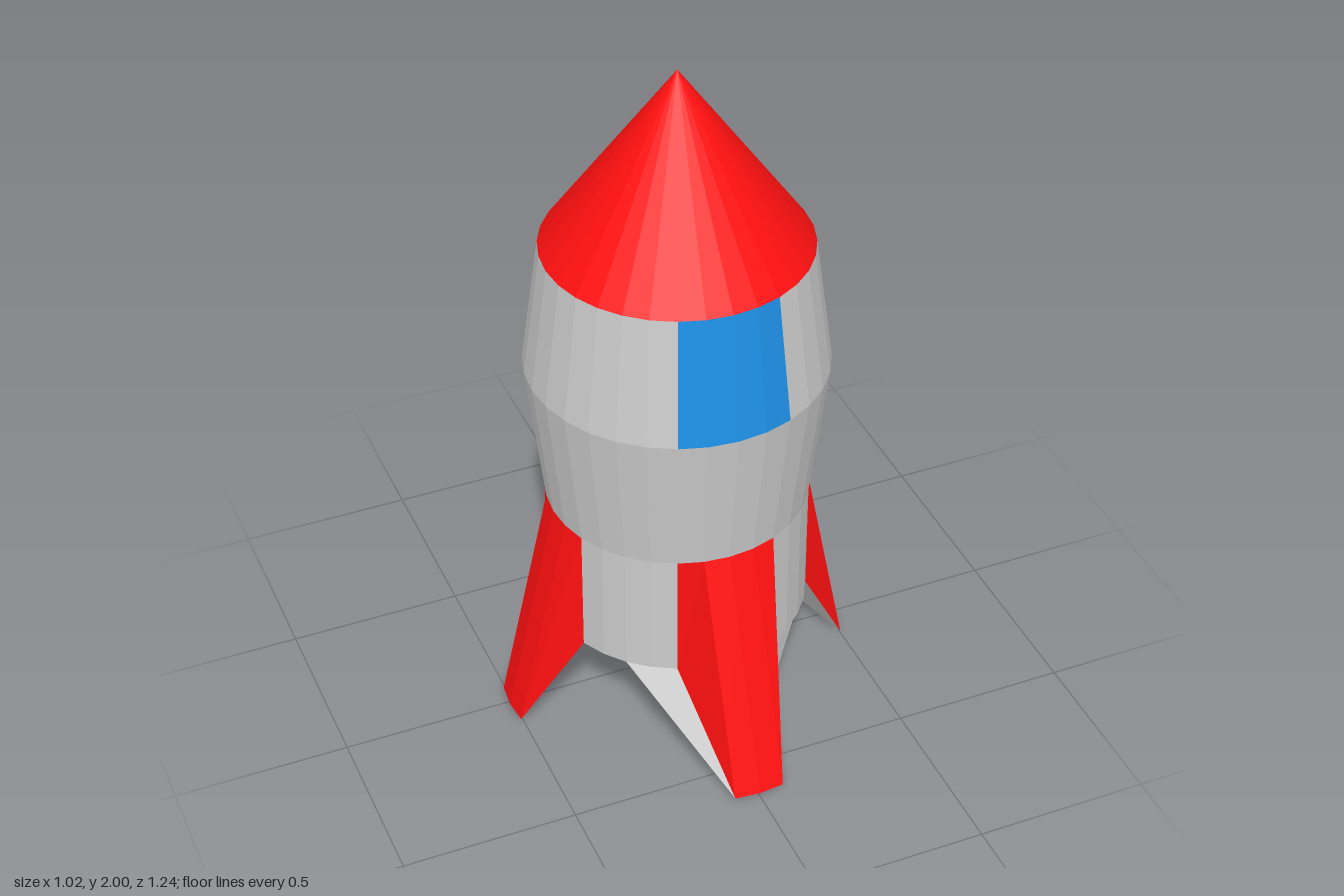
import * as THREE from 'three';

const SIDES = 32;
const CX = 0.005, CZ = 0.02;

const mat = (color) => new THREE.MeshStandardMaterial({ color, flatShading: true, side: THREE.DoubleSide });
const grey = mat(0xcccccc), red = mat(0xff1010), blue = mat(0x1e90e6);

// A horizontal ring of points; index 0 faces the front, index 8 the left (+x)
function ring(y, r) {
  return Array.from({ length: SIDES }, (_, k) => {
    const a = (k / SIDES) * Math.PI * 2;
    return new THREE.Vector3(CX + r * Math.sin(a), y, CZ + r * Math.cos(a));
  });
}

function meshFrom(name, points, material) {
  const geo = new THREE.BufferGeometry().setFromPoints(points);
  geo.computeVertexNormals();
  const mesh = new THREE.Mesh(geo, material);
  mesh.name = name;
  return mesh;
}

// Quads between two rings, from side index "from" up to "to"
function band(lower, upper, from, to) {
  const pts = [];
  for (let i = from; i < to; i++) {
    const k = (i + SIDES) % SIDES, n = (k + 1) % SIDES;
    pts.push(lower[k], lower[n], upper[n], lower[k], upper[n], upper[k]);
  }
  return pts;
}

export function createModel() {
  const group = new THREE.Group();
  group.name = 'rocket';

  const base = ring(0.3, 0.37);
  const hip = ring(0.68, 0.37);
  const waist = ring(1.11, 0.42);
  const shoulder = ring(1.48, 0.37);

  // Three base points per fin are pulled outward and down to the ground
  const fins = [
    { name: 'frontFin', at: 0, dx: 0, dz: 0.23, y: 0 },
    { name: 'leftFin', at: 8, dx: 0.135, dz: 0, y: 0 },
    { name: 'backFin', at: 16, dx: 0, dz: -0.27, y: 0.01 },
    { name: 'rightFin', at: 24, dx: -0.15, dz: 0, y: 0.01 },
  ];
  for (const f of fins) {
    for (let i = -1; i <= 1; i++) {
      const p = base[(f.at + i + SIDES) % SIDES];
      p.set(p.x + f.dx, f.y, p.z + f.dz);
    }
  }

  // Fins, with the plain hull panels between them
  const hull = [];
  for (const f of fins) {
    group.add(meshFrom(f.name, band(base, hip, f.at - 2, f.at + 2), red));
    hull.push(...band(base, hip, f.at + 2, f.at + 6));
  }

  // Bulging hull with a window at front and back
  hull.push(...band(hip, waist, 0, SIDES));
  hull.push(...band(waist, shoulder, 2, 14), ...band(waist, shoulder, 18, 30));
  group.add(meshFrom('hull', hull, grey));
  group.add(meshFrom('frontWindow', band(waist, shoulder, -2, 2), blue));
  group.add(meshFrom('backWindow', band(waist, shoulder, 14, 18), blue));

  // Nose cone
  const tip = new THREE.Vector3(CX, 2, CZ);
  group.add(meshFrom('noseCone', shoulder.flatMap((p, k) => [p, shoulder[(k + 1) % SIDES], tip]), red));

  // Underside stretched between the fin tips: fans of base points, hub first
  const fans = [
    [31, 0, 1, 2, 6], [2, 3, 4, 5, 6], [31, 6, 17], [6, 7, 14, 17],
    [7, 8, 9, 10, 14], [10, 11, 12, 13, 14], [17, 14, 15, 16],
    [17, 18, 19, 20, 28, 31], [28, 29, 30, 31], [20, 21, 22, 26, 27, 28],
    [22, 23, 24, 25, 26],
  ];
  const under = [];
  for (const [hub, ...rim] of fans) {
    for (let i = 0; i < rim.length - 1; i++) under.push(base[hub], base[rim[i + 1]], base[rim[i]]);
  }
  group.add(meshFrom('underside', under, grey));

  return group;
}
